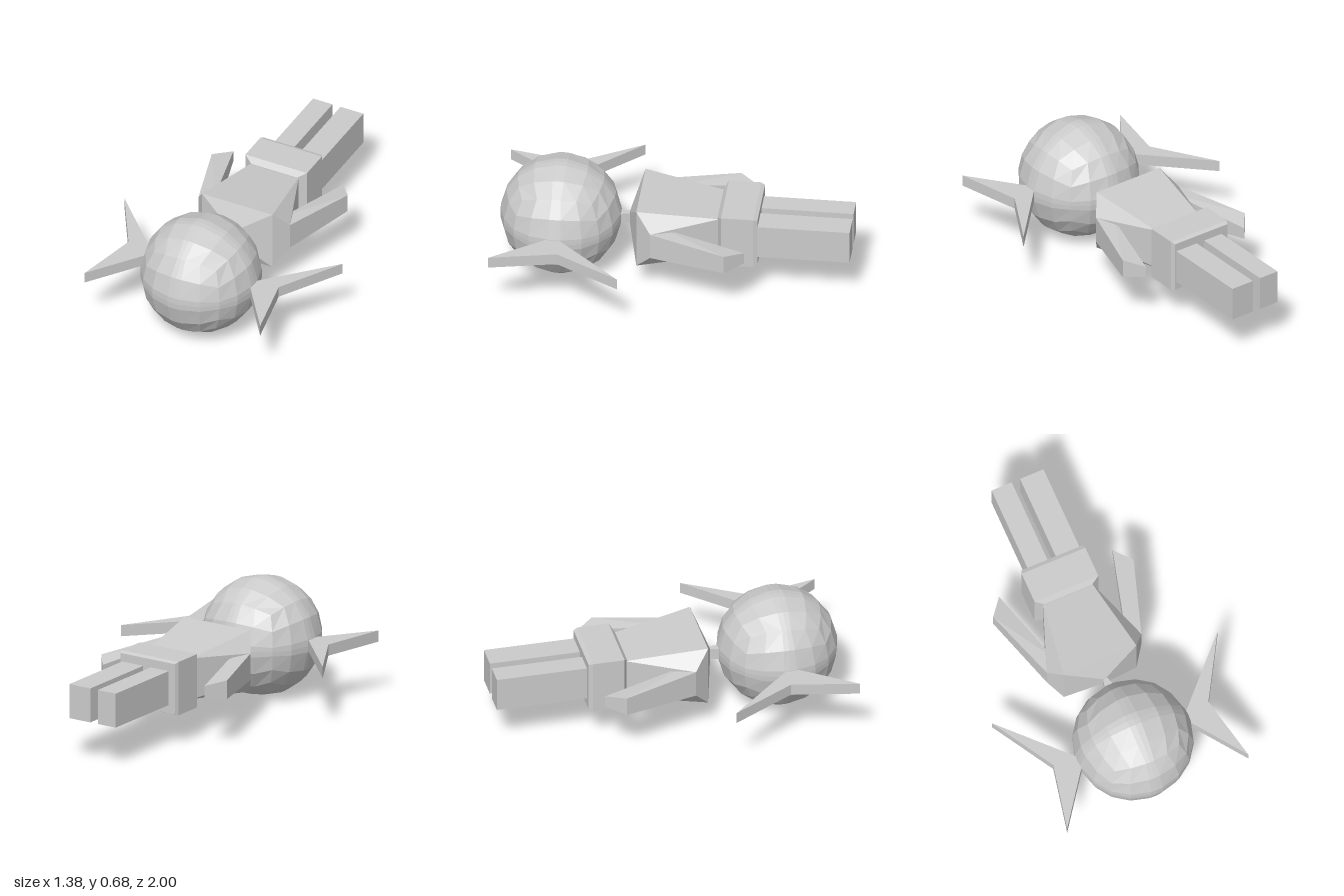
import * as THREE from 'three';
import { ConvexGeometry } from 'three/addons/geometries/ConvexGeometry.js';

const MID = 0.342; // height of the figure's long axis
const material = new THREE.MeshStandardMaterial({ color: 0xcccccc, flatShading: true });

function add(parent, name, geometry) {
  const mesh = new THREE.Mesh(geometry, material);
  mesh.name = name;
  parent.add(mesh);
  return mesh;
}

// Faceted solid around points given as [x, z, halfHeight], each used above and below the axis
function solid(points) {
  return new ConvexGeometry(points.flatMap(([x, z, h]) => [
    new THREE.Vector3(x, MID + h, z), new THREE.Vector3(x, MID - h, z)]));
}
const bothSides = (points) => points.flatMap(([x, z, h]) => [[x, z, h], [-x, z, h]]);

// Round head: a cube grid pushed out to a sphere, with a narrow strip at each face's middle
function headGeometry(radius) {
  const angles = [-45, -26, -6, 0, 6, 26, 45].map((a) => Math.tan(THREE.MathUtils.degToRad(a)));
  const geometry = new THREE.BoxGeometry(6, 6, 6, 6, 6, 6);
  const pos = geometry.attributes.position;
  const v = new THREE.Vector3();
  const remap = (c) => angles[Math.round(c) + 3];
  for (let i = 0; i < pos.count; i++) {
    v.fromBufferAttribute(pos, i);
    v.set(remap(v.x), remap(v.y), remap(v.z)).setLength(radius);
    pos.setXYZ(i, v.x, v.y, v.z);
  }
  geometry.computeVertexNormals();
  return geometry;
}

// Flat two-pointed fin on one side of the head
function finGeometry(side) {
  const outline = [[0.33, 0.63], [0.69, 0.255], [0.475, 0.62], [0.555, 1.0], [0.33, 0.69]];
  const shape = new THREE.Shape(outline.map(([x, z]) => new THREE.Vector2(side * x, z)));
  const geometry = new THREE.ExtrudeGeometry(shape, { depth: 0.066, bevelEnabled: false });
  return geometry.rotateX(Math.PI / 2).translate(0, MID + 0.033, 0);
}

export function createModel() {
  const model = new THREE.Group();
  model.name = 'lyingFigure';

  // Head and neck
  add(model, 'head', headGeometry(0.342)).position.set(0, MID, 0.65);
  add(model, 'neck', solid(bothSides([[0.01, 0.25, 0.033], [0.03, 0.33, 0.033]])));

  // Body lying behind the head
  const body = new THREE.Group();
  body.name = 'body';
  body.position.x = -0.005;
  model.add(body);
  add(body, 'torso', solid(bothSides([
    [0.008, 0.262, 0.035], [0.222, 0.2, 0.18], [0.29, 0.115, 0.078], [0.15, -0.26, 0.12]])));
  add(body, 'hips', solid(bothSides([
    [0.145, -0.25, 0.125], [0.195, -0.275, 0.157], [0.195, -0.457, 0.157], [0.185, -0.48, 0.148]])));

  for (const side of [1, -1]) {
    const label = side > 0 ? 'left' : 'right';
    add(model, label + 'HeadFin', finGeometry(side));
    // Arm tapering back from the shoulder to a slanted end
    add(body, label + 'Arm', solid([
      [0.29, 0.115, 0.078], [0.215, 0.06, 0.078], [0.43, -0.318, 0.055], [0.348, -0.424, 0.034],
    ].map(([x, z, h]) => [side * x, z, h])));
  }

  // Legs, one slightly wider than the other
  for (const [name, x0, x1] of [['leftLeg', 0.026, 0.17], ['rightLeg', -0.148, -0.025]]) {
    add(model, name, new THREE.BoxGeometry(x1 - x0, 0.2, 0.55))
      .position.set((x0 + x1) / 2, MID, -0.725);
  }
  return model;
}
